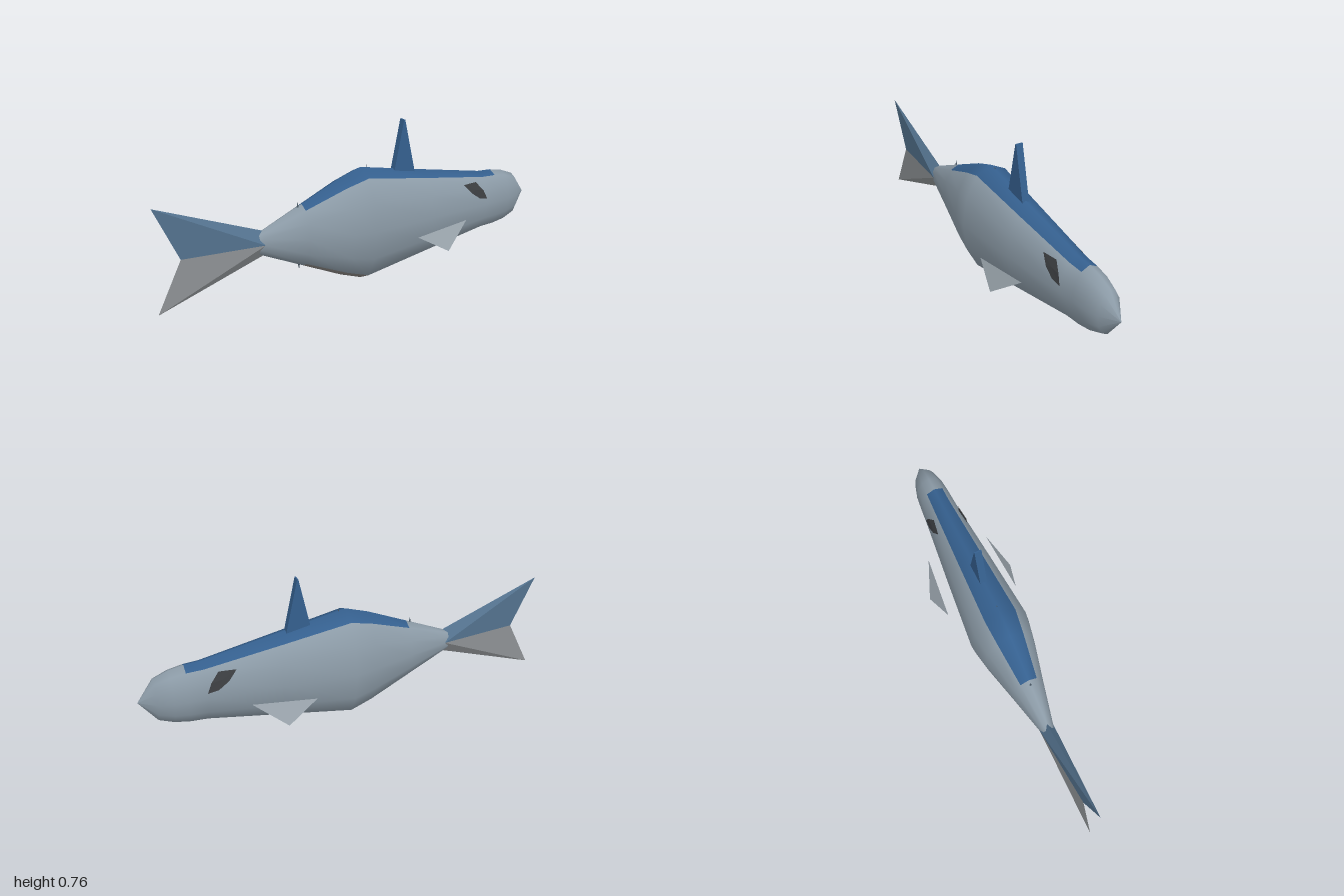
import * as THREE from 'three';

const SIDES = 12;
const MID = 0.28;
// body stations: x, centre height, half height, half width
const STATIONS = [
  [-0.64, MID, 0, 0], [-0.5, MID, 0.06, 0.035], [-0.3, MID, 0.15, 0.082], [-0.1, MID, 0.24, 0.131],
  [0.01, MID, 0.278, 0.152], [0.35, MID, 0.215, 0.122], [0.7, MID, 0.152, 0.088], [0.78, MID, 0.148, 0.082],
  [0.85, MID, 0.135, 0.075], [0.92, MID, 0.108, 0.056], [1, MID, 0, 0],
];

const paint = (color, extra = {}) => new THREE.MeshStandardMaterial({ color, ...extra });

function named(name, geometry, material) {
  const mesh = new THREE.Mesh(geometry, material);
  mesh.name = name;
  return mesh;
}

// flat faces from a list of triangle corners
function facets(triangles) {
  const g = new THREE.BufferGeometry();
  g.setAttribute('position', new THREE.Float32BufferAttribute(triangles.flat(2), 3));
  g.computeVertexNormals();
  return g;
}

// interpolated half height and half width at x
function sizeAt(x) {
  const i = STATIONS.findIndex((s) => s[0] >= x);
  const a = STATIONS[i - 1], b = STATIONS[i];
  const t = (x - a[0]) / (b[0] - a[0]);
  return [a[2] + (b[2] - a[2]) * t, a[3] + (b[3] - a[3]) * t];
}

// one smooth lofted body, its faces shared out between back, flanks and belly
function makeBody(colors) {
  const body = new THREE.Group();
  body.name = 'body';
  const positions = [], all = [];
  const index = { back: [], flanks: [], belly: [] };
  for (const [x, y, h, w] of STATIONS) {
    for (let k = 0; k < SIDES; k++) {
      const a = (k / SIDES) * Math.PI * 2;
      positions.push(x, y + Math.sin(a) * h, Math.cos(a) * w);
    }
  }
  for (let i = 0; i < STATIONS.length - 1; i++) {
    for (let k = 0; k < SIDES; k++) {
      const n = (k + 1) % SIDES;
      const p = i * SIDES + k, q = i * SIDES + n;
      const quad = [p, p + SIDES, q, q, p + SIDES, q + SIDES];
      const trunk = i >= 2 && i <= 6;
      const zone = trunk && (k === 2 || k === 3) ? 'back' : trunk && (k === 8 || k === 9) ? 'belly' : 'flanks';
      index[zone].push(...quad);
      all.push(...quad);
    }
  }
  const whole = new THREE.BufferGeometry();
  whole.setAttribute('position', new THREE.Float32BufferAttribute(positions, 3));
  whole.setIndex(all);
  whole.computeVertexNormals();
  for (const zone of Object.keys(index)) {
    const part = whole.clone();
    part.setIndex(index[zone]);
    body.add(named(zone, part, paint(colors[zone])));
  }
  return body;
}

export function createModel() {
  const fish = new THREE.Group();
  fish.name = 'fish';
  const blue = 0x35608f, grey = 0x8c9ba7, pale = 0x85827f;
  fish.add(makeBody({ back: blue, flanks: grey, belly: pale }));

  // forked tail: each lobe is a thin wedge with a ridge at mid height
  const notch = [-0.885, MID, 0];
  const ridgeL = [-0.5, MID, 0.035], ridgeR = [-0.5, MID, -0.035];
  const lobe = (root, tip) => {
    const faces = [
      [root, tip, ridgeL], [ridgeL, tip, notch],
      [root, ridgeR, tip], [ridgeR, notch, tip],
    ];
    return facets(root[1] > MID ? faces : faces.map(([a, b, c]) => [a, c, b]));
  };
  fish.add(named('upperTailLobe', lobe([-0.5, 0.34, 0], [-1, 0.53, 0]), paint(0x54738f)));
  fish.add(named('lowerTailLobe', lobe([-0.5, 0.22, 0], [-1, 0.045, 0]), paint(0x8b8f92)));

  // dorsal fin
  const fin = new THREE.Shape([
    new THREE.Vector2(0.185, 0.495), new THREE.Vector2(0.305, 0.495),
    new THREE.Vector2(0.246, 0.757), new THREE.Vector2(0.24, 0.757),
  ]);
  const dorsal = new THREE.ExtrudeGeometry(fin, { depth: 0.034, bevelEnabled: false });
  dorsal.translate(0, 0, -0.017);
  fish.add(named('dorsalFin', dorsal, paint(blue)));

  // paired side fins and eye patches
  for (const side of [1, -1]) {
    const label = side > 0 ? 'front' : 'back';
    const pectoral = facets([[[0.22, 0.225, 0.183 * side], [0.37, 0.14, 0.223 * side], [0.52, 0.25, 0.157 * side]]]);
    fish.add(named(label + 'SideFin', pectoral, paint(0x98a2aa, { side: THREE.DoubleSide })));

    const onSkin = (x, y) => {
      const [h, w] = sizeAt(x);
      const s = Math.min(1, Math.abs(y - MID) / h);
      return [x, y, side * (w * Math.sqrt(1 - s * s) + 0.002)];
    };
    const rim = [[0.56, 0.4], [0.6, 0.355], [0.65, 0.32], [0.7, 0.31], [0.68, 0.355], [0.64, 0.4]]
      .map(([x, y]) => onSkin(x, y));
    const hub = onSkin(0.63, 0.365);
    const eye = facets(rim.map((p, i) => [hub, p, rim[(i + 1) % rim.length]]));
    fish.add(named(label + 'Eye', eye, paint(0x3b3d40, { side: THREE.DoubleSide })));
  }

  // tiny finlets along the midline
  for (const [x, y, up] of [[-0.32, 0.43, 1], [-0.32, 0.13, -1], [0.045, 0.55, 1]]) {
    const finlet = named('finlet', new THREE.ConeGeometry(0.006, 0.03, 4), paint(0x4a5a68));
    finlet.position.set(x, y, 0);
    if (up < 0) finlet.rotation.x = Math.PI;
    fish.add(finlet);
  }
  return fish;
}
